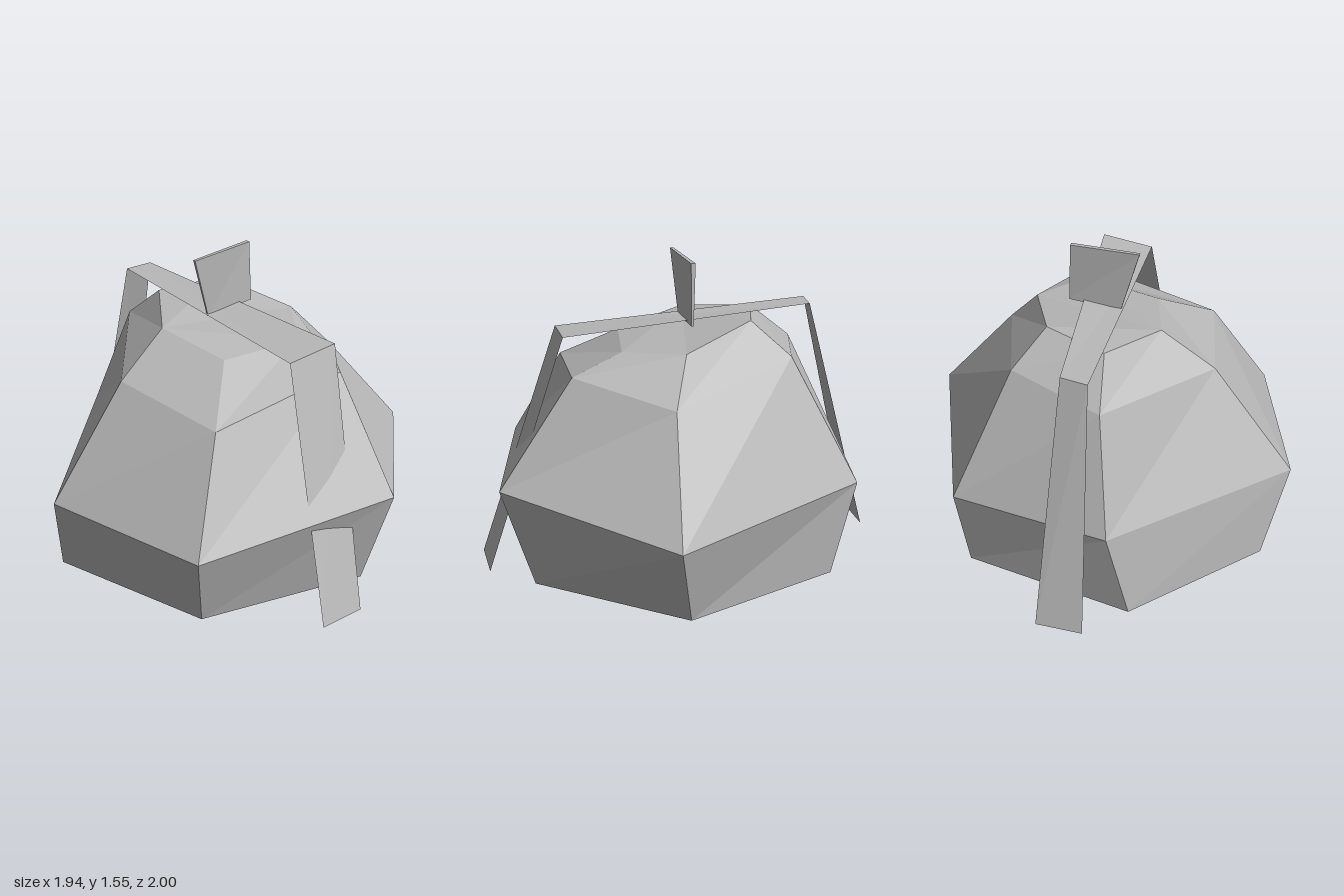
import * as THREE from 'three';

const stone = new THREE.MeshStandardMaterial({ color: 0xb8b8b8, flatShading: true });
stone.name = 'stone grey';
const strapGrey = new THREE.MeshStandardMaterial({ color: 0xb8b8b8, flatShading: true, side: THREE.DoubleSide });
strapGrey.name = 'strap grey';

// Skins a list of cross-sections (equal point counts, counterclockwise from above)
function loft(rings, closed) {
  const n = rings[0].length;
  const pos = rings.flat(2);
  const idx = [];
  for (let r = 0; r < rings.length - 1; r++) {
    for (let i = 0; i < (closed ? n : n - 1); i++) {
      const j = (i + 1) % n;
      const a = r * n + i, b = r * n + j, c = b + n, d = a + n;
      idx.push(a, b, c, a, c, d);
    }
  }
  if (closed) {
    const top = (rings.length - 1) * n;
    for (let i = 1; i < n - 1; i++) {
      idx.push(0, i + 1, i);
      idx.push(top, top + i, top + i + 1);
    }
  }
  const g = new THREE.BufferGeometry();
  g.setAttribute('position', new THREE.Float32BufferAttribute(pos, 3));
  g.setIndex(idx);
  const flat = g.toNonIndexed();
  flat.computeVertexNormals();
  return flat;
}

function part(name, geometry, material) {
  const mesh = new THREE.Mesh(geometry, material);
  mesh.name = name;
  return mesh;
}

export function createModel() {
  const model = new THREE.Group();
  model.name = 'bundle';

  // Lumpy six-sided body: foot, belly, shoulder and crown rings
  const foot = [[-0.87, 0, -0.2], [-0.58, 0, 0.6], [0.26, 0, 0.8],
    [0.8, 0, 0.15], [0.54, 0, -0.65], [-0.33, 0, -0.8]];
  const belly = [[-0.97, 0.46, -0.07], [-0.69, 0.435, 0.73], [0.295, 0.54, 0.96],
    [0.97, 0.45, 0.24], [0.56, 0.495, -0.76], [-0.23, 0.48, -0.845]];
  const shoulder = [[-0.56, 1.0, -0.07], [-0.43, 0.945, 0.515], [0.255, 1.07, 0.585],
    [0.555, 0.97, 0.155], [0.335, 1.1, -0.48], [-0.14, 1.04, -0.63]];
  const crown = [[-0.295, 1.195, -0.1], [-0.19, 1.135, 0.26], [0.2, 1.155, 0.33],
    [0.38, 1.18, 0.06], [0.21, 1.258, -0.31], [-0.1, 1.23, -0.41]];
  model.add(part('body', loft([foot, belly, shoulder, crown], true), stone));

  // Flat strap over the body, from the front ground to the back ground
  const strap = [
    [[-0.155, 0, 1], [0.08, 0, 1]],
    [[-0.07, 1.222, 0.6], [0.19, 1.25, 0.61]],
    [[-0.105, 1.25, -0.695], [0.03, 1.255, -0.68]],
    [[-0.155, 0, -1], [0.08, 0, -1]],
  ];
  model.add(part('strap', loft(strap, false), strapGrey));

  // Upright tag, flaring and slightly twisted toward the top
  const tagFoot = [[-0.075, 1.225, -0.033], [-0.075, 1.225, -0.023],
    [0.185, 1.245, -0.018], [0.185, 1.245, -0.03]];
  const tagTop = [[-0.162, 1.543, -0.022], [-0.162, 1.543, -0.006],
    [0.172, 1.555, -0.02], [0.172, 1.555, -0.042]];
  model.add(part('tag', loft([tagFoot, tagTop], true), stone));

  return model;
}
